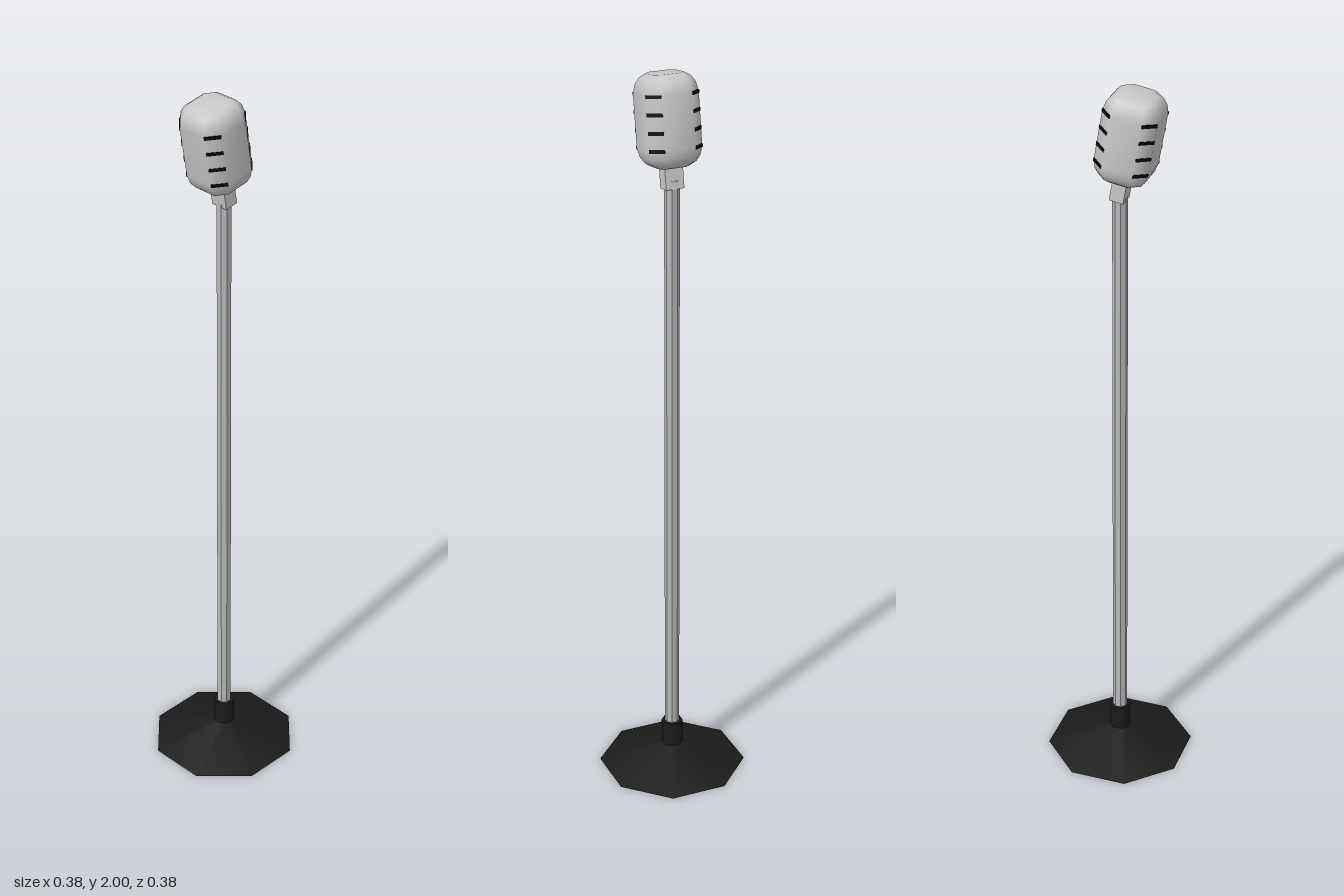
import * as THREE from 'three';

const material = (name, color, options = {}) => {
  const m = new THREE.MeshStandardMaterial({ color, ...options });
  m.name = name;
  return m;
};

// Stack of corner-cut square rings [height, half width], closed at both ends
function cutSquareLoft(sections, cutRatio) {
  const positions = [], indices = [];
  const n = 8;
  for (const [y, h] of sections) {
    const k = h * (1 - cutRatio);
    const ring = [[k, h], [h, k], [h, -k], [k, -h], [-k, -h], [-h, -k], [-h, k], [-k, h]];
    for (const [x, z] of ring) positions.push(x, y, z);
  }
  for (let s = 0; s < sections.length - 1; s++) {
    for (let i = 0; i < n; i++) {
      const a = s * n + i, b = s * n + (i + 1) % n;
      indices.push(a, b, b + n, a, b + n, a + n);
    }
  }
  const last = (sections.length - 1) * n;
  const bottom = positions.length / 3, top = bottom + 1;
  positions.push(0, sections[0][0], 0, 0, sections[sections.length - 1][0], 0);
  for (let i = 0; i < n; i++) {
    const j = (i + 1) % n;
    indices.push(bottom, j, i, top, last + i, last + j);
  }
  const geometry = new THREE.BufferGeometry();
  geometry.setAttribute('position', new THREE.Float32BufferAttribute(positions, 3));
  geometry.setIndex(indices);
  geometry.computeVertexNormals();
  return geometry;
}

export function createModel() {
  const model = new THREE.Group();
  model.name = 'standMicrophone';
  const black = material('blackBase', 0x1b1b1b);
  const steel = material('steelPole', 0xb8b8b8, { flatShading: true });
  const silver = material('silverHead', 0xc8c8c8);
  const slotBlack = material('slotBlack', 0x080808);

  const add = (parent, name, geometry, mat, y = 0) => {
    const mesh = new THREE.Mesh(geometry, mat);
    mesh.name = name;
    mesh.position.y = y;
    parent.add(mesh);
    return mesh;
  };
  // Upright octagonal piece with a flat side facing front
  const octagon = (name, topR, bottomR, y0, y1, mat) => {
    const g = new THREE.CylinderGeometry(topR, bottomR, y1 - y0, 8);
    g.rotateY(Math.PI / 8);
    add(model, name, g, mat, (y0 + y1) / 2);
  };

  // Stand
  octagon('base', 0.022, 0.204, 0, 0.062, black);
  octagon('collar', 0.029, 0.029, 0.045, 0.13, black);
  octagon('pole', 0.02, 0.02, 0.12, 1.73, steel);

  // Head and joint lean forward together
  const tilt = new THREE.Group();
  tilt.name = 'tiltedHead';
  tilt.position.y = 1.72;
  tilt.rotation.x = 0.17;
  model.add(tilt);
  add(tilt, 'joint', new THREE.BoxGeometry(0.05, 0.07, 0.038), silver, 0.02);

  const head = new THREE.Group();
  head.name = 'head';
  head.position.set(0, 0.16, 0.001);
  tilt.add(head);
  const half = 0.072, cutRatio = 0.42;
  add(head, 'headShell', cutSquareLoft([
    [-0.118, 0.042], [-0.108, 0.057], [-0.092, 0.067], [-0.068, half],
    [0.068, half], [0.092, 0.067], [0.108, 0.057], [0.118, 0.042],
  ], cutRatio), silver);

  // Thin dark slots across the four cut corners
  const cut = half * cutRatio;
  const slot = new THREE.BoxGeometry(cut * Math.SQRT2, 0.009, 0.003);
  const reach = half - cut / 2;
  for (let corner = 0; corner < 4; corner++) {
    const angle = Math.PI / 4 + corner * Math.PI / 2;
    for (const y of [0.068, 0.023, -0.023, -0.068]) {
      const mesh = add(head, 'slot', slot, slotBlack, y);
      mesh.position.x = Math.sign(Math.sin(angle)) * reach;
      mesh.position.z = Math.sign(Math.cos(angle)) * reach;
      mesh.rotation.y = angle;
    }
  }
  return model;
}
